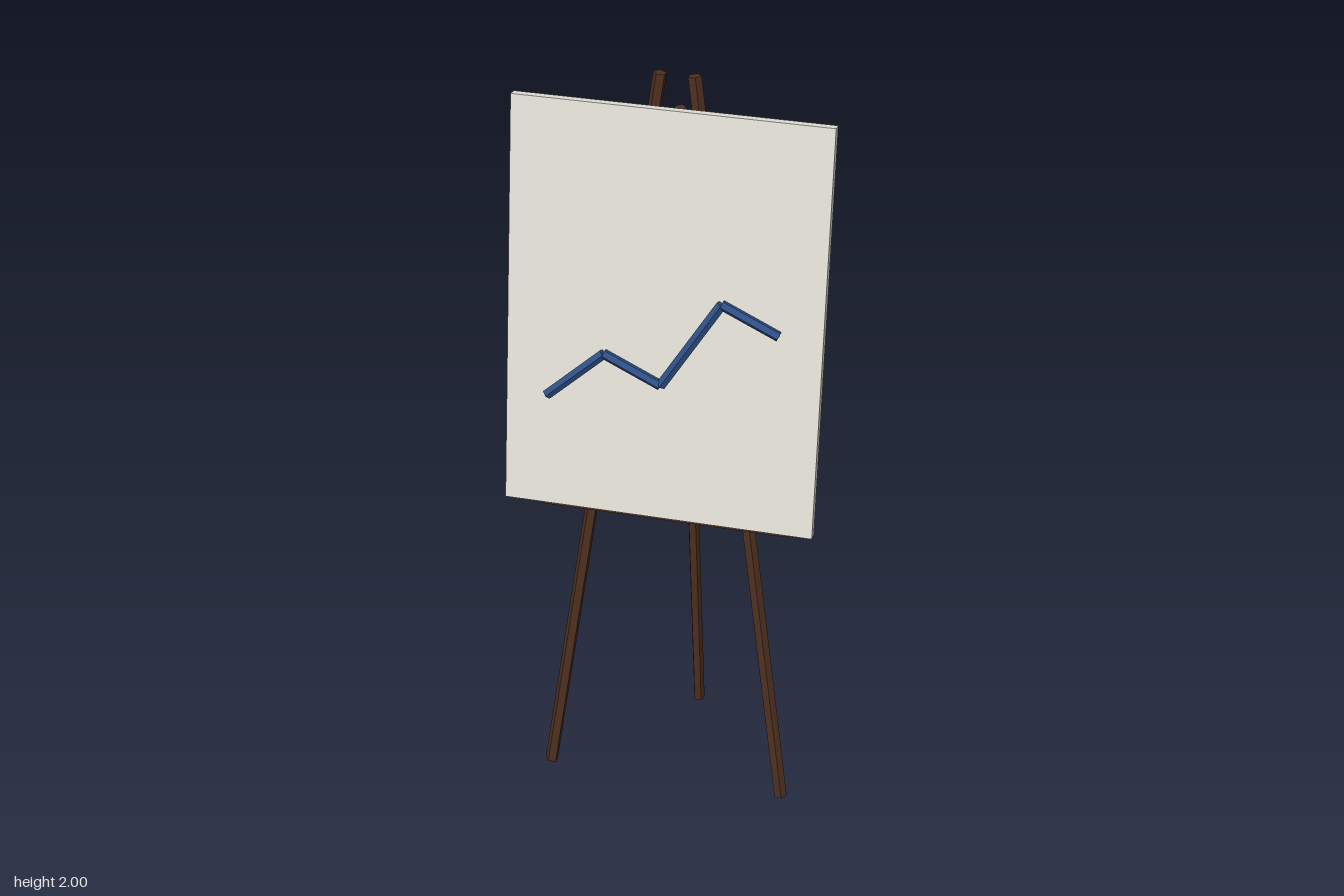
import * as THREE from 'three';

const wood = new THREE.MeshStandardMaterial({ color: 0x4f3020, flatShading: true });
const canvasWhite = new THREE.MeshStandardMaterial({ color: 0xe6e3da, flatShading: true });
const blue = new THREE.MeshStandardMaterial({ color: 0x2f4f86, flatShading: true });

const UP = new THREE.Vector3(0, 1, 0);

// Five-sided rod running from point a to point b
function rod(name, a, b, radius, material) {
  const start = new THREE.Vector3(...a);
  const end = new THREE.Vector3(...b);
  const dir = end.clone().sub(start);
  const mesh = new THREE.Mesh(new THREE.CylinderGeometry(radius, radius, dir.length(), 5), material);
  mesh.position.copy(start).add(end).multiplyScalar(0.5);
  mesh.quaternion.setFromUnitVectors(UP, dir.normalize());
  mesh.name = name;
  return mesh;
}

function box(name, size, position, material) {
  const mesh = new THREE.Mesh(new THREE.BoxGeometry(...size), material);
  mesh.position.set(...position);
  mesh.name = name;
  return mesh;
}

export function createModel() {
  const easel = new THREE.Group();
  easel.name = 'easel';

  // Tripod: two splayed front legs and one rear leg
  for (const [name, s] of [['leftFrontLeg', 1], ['rightFrontLeg', -1]]) {
    easel.add(rod(name, [s * 0.042, 1.998, 0.023], [s * 0.318, 0.003, 0.158], 0.0172, wood));
  }
  easel.add(rod('rearLeg', [0, 1.9, -0.004], [0, 0.002, -0.215], 0.0155, wood));

  // Ledge across the front legs
  easel.add(box('ledge', [0.64, 0.032, 0.08], [0, 0.843, 0.12], wood));

  // Board leaning back
  const board = box('board', [0.795, 1.06, 0.026], [0, 1.402, 0.143], canvasWhite);
  board.rotation.x = -0.142;
  easel.add(board);

  // Zigzag chart line on the board
  const chart = new THREE.Group();
  chart.name = 'chartLine';
  const points = [
    [-0.29, 1.178, 0.201], [-0.147, 1.304, 0.182], [0, 1.24, 0.191],
    [0.145, 1.468, 0.159], [0.29, 1.405, 0.168],
  ];
  for (let i = 0; i < points.length - 1; i++) {
    chart.add(rod('chartSegment' + (i + 1), points[i], points[i + 1], 0.0132, blue));
  }
  easel.add(chart);

  return easel;
}
